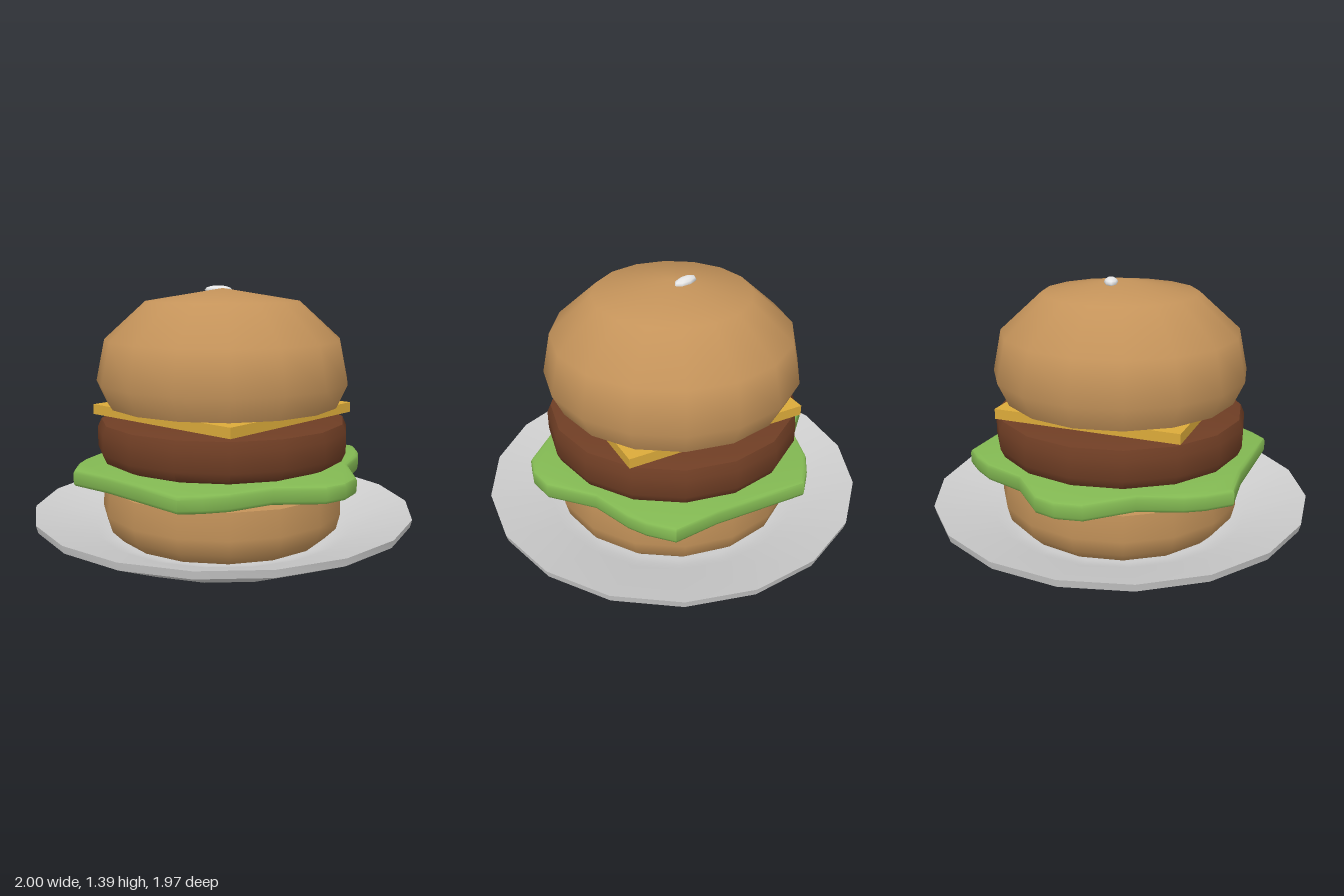
import * as THREE from 'three';
import { toCreasedNormals } from 'three/addons/utils/BufferGeometryUtils.js';

const CREASE = 0.8;

const material = (name, color) => {
  const m = new THREE.MeshStandardMaterial({ color });
  m.name = name;
  return m;
};

const part = (name, geometry, mat) => {
  const mesh = new THREE.Mesh(geometry, mat);
  mesh.name = name;
  return mesh;
};

// Turned solid from a bottom-to-top [radius, height] profile, first corner on +x
const turned = (profile, sides) => toCreasedNormals(
  new THREE.LatheGeometry(profile.map(([r, y]) => new THREE.Vector2(r, y)), sides, Math.PI / 2), CREASE);

export function createModel() {
  const burger = new THREE.Group();
  burger.name = 'burger';

  const china = material('plate grey', 0xcfcfcf);
  const bread = material('bun brown', 0xc4935a);
  const meat = material('patty brown', 0x6e3d24);
  const leaf = material('lettuce green', 0x82b852);
  const cheddar = material('cheese yellow', 0xdcab3a);
  const sesame = material('seed white', 0xe6e6e6);

  // Shallow plate: underside, rim, then inner slope and well
  burger.add(part('plate', turned([
    [0, 0], [0.535, 0], [0.68, 0.045], [0.99, 0.185], [1, 0.225],
    [0.68, 0.12], [0.63, 0.1], [0.58, 0.09], [0, 0.09],
  ], 18), china));

  // Bottom bun, rounded in towards the plate
  burger.add(part('bottomBun', turned([
    [0, 0.09], [0.56, 0.09], [0.62, 0.15], [0.64, 0.23], [0.63, 0.365], [0, 0.385],
  ], 16), bread));

  // Lettuce: half of the wavy outline, repeated after a half turn
  const half = [
    [0.73, 0], [0.755, 0.1], [0.76, 0.25], [0.58, 0.4], [0.42, 0.57], [0.24, 0.76], [0.13, 0.755],
    [0, 0.73], [-0.2, 0.63], [-0.45, 0.63], [-0.55, 0.57], [-0.625, 0.46], [-0.635, 0.2],
  ];
  const outline = [1, -1].flatMap((s) => half.map(([x, y]) => new THREE.Vector2(s * x, s * y)));
  const lettuce = new THREE.ExtrudeGeometry(new THREE.Shape(outline), {
    depth: 0.05, bevelThickness: 0.02, bevelSize: 0.02, bevelOffset: -0.02, bevelSegments: 2,
  });
  lettuce.rotateX(-Math.PI / 2).translate(0, 0.415, 0);
  burger.add(part('lettuce', toCreasedNormals(lettuce, CREASE), leaf));

  // Patty with rounded edges
  burger.add(part('patty', turned([
    [0, 0.49], [0.59, 0.49], [0.64, 0.51], [0.66, 0.555],
    [0.66, 0.655], [0.64, 0.7], [0.59, 0.718], [0, 0.718],
  ], 16), meat));

  // Square cheese slice with its corners on the axes
  const side = 0.68 * Math.SQRT2;
  const cheese = part('cheese', new THREE.BoxGeometry(side, 0.052, side), cheddar);
  cheese.position.y = 0.748;
  cheese.rotation.y = Math.PI / 4;
  burger.add(cheese);

  // Domed top bun
  burger.add(part('topBun', turned([
    [0, 0.78], [0.605, 0.78], [0.66, 0.9], [0.615, 1.115], [0.4, 1.31], [0, 1.375],
  ], 16), bread));

  // Single sesame seed
  const seed = part('seed', new THREE.SphereGeometry(1, 8, 6), sesame);
  seed.scale.set(0.078, 0.024, 0.036);
  seed.position.set(-0.02, 1.364, -0.06);
  seed.rotation.y = -0.4;
  burger.add(seed);

  return burger;
}
